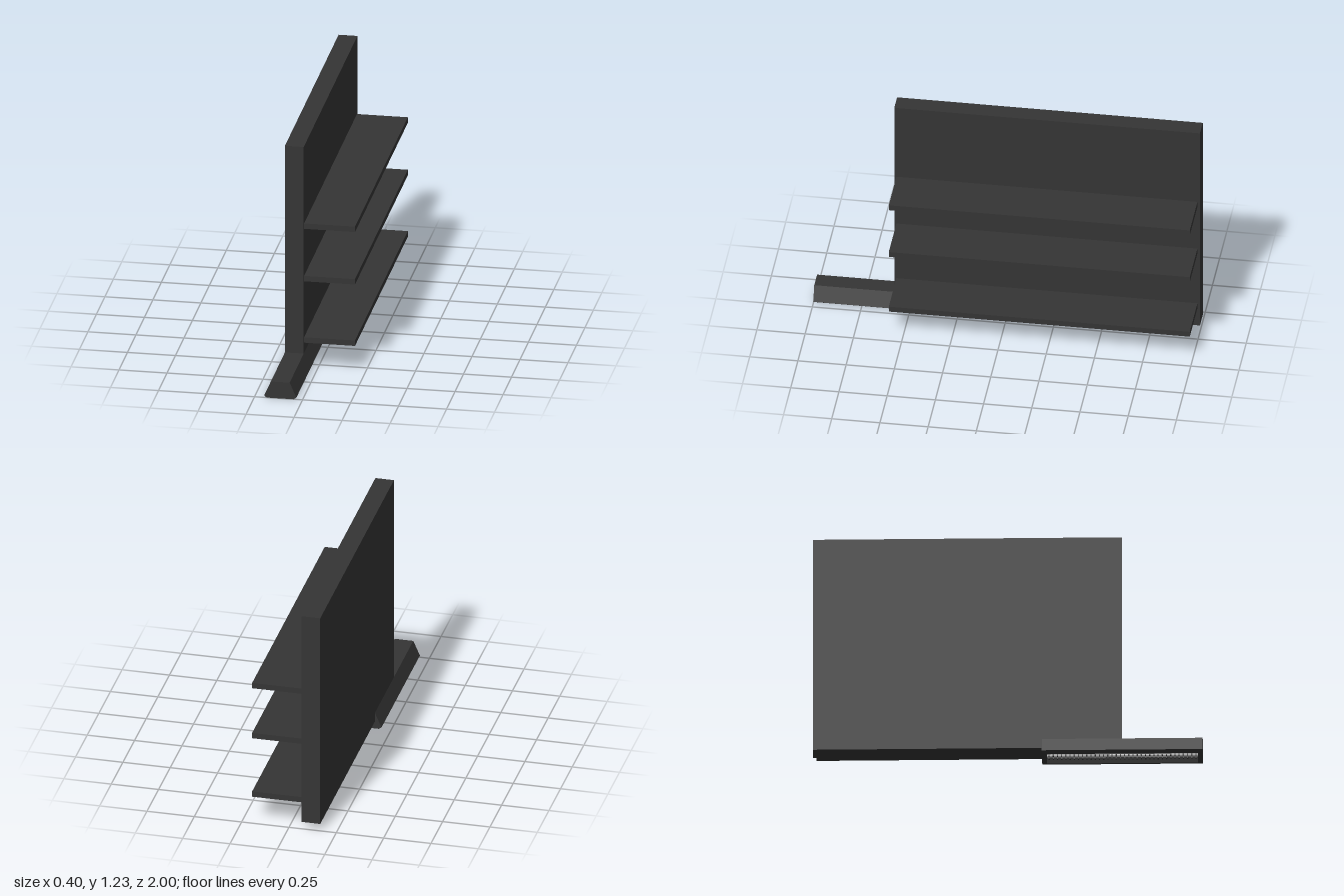
import * as THREE from 'three';

const mat = (name, color, side = THREE.FrontSide) => {
  const m = new THREE.MeshStandardMaterial({ color, side });
  m.name = name;
  return m;
};

export function createModel() {
  const model = new THREE.Group();
  model.name = 'shelvingUnit';
  const charcoal = mat('charcoal', 0x353535);
  const fixture = mat('reflectorGrey', 0x5a5a5a);
  const lamp = mat('lampWhite', 0xd8d8d8);

  const add = (name, geometry, material, parent = model) => {
    const mesh = new THREE.Mesh(geometry, material);
    mesh.name = name;
    parent.add(mesh);
    return mesh;
  };
  // box given by its minimum and maximum corners
  const box = (name, [x0, y0, z0], [x1, y1, z1], material, parent) => {
    const mesh = add(name, new THREE.BoxGeometry(x1 - x0, y1 - y0, z1 - z0), material, parent);
    mesh.position.set((x0 + x1) / 2, (y0 + y1) / 2, (z0 + z1) / 2);
  };
  // outline in x and y, swept from z0 to z1
  const sweep = (name, points, z0, z1, material, parent) => {
    const shape = new THREE.Shape(points.map(([x, y]) => new THREE.Vector2(x, y)));
    const geometry = new THREE.ExtrudeGeometry(shape, { depth: z1 - z0, bevelEnabled: false });
    add(name, geometry, material, parent).position.z = z0;
  };

  // upright back panel and its three shelves
  box('backPanel', [-0.165, 0.04, -1], [-0.067, 1.228, 0.585], charcoal);
  for (const y of [0.161, 0.499, 0.788]) {
    box('shelf', [-0.067, y - 0.015, -0.987], [0.198, y + 0.015, 0.574], charcoal);
  }

  // tapered foot: hollow body, closed by a block at each end
  const foot = new THREE.Group();
  foot.name = 'foot';
  model.add(foot);
  const cx = -0.116;
  const outer = [[-0.084, 0.01], [-0.049, 0.09], [0.049, 0.09], [0.084, 0.01]];
  const body = [...outer, [0.07, 0], [0.058, 0], [0.045, 0.05], [-0.045, 0.05], [-0.058, 0], [-0.07, 0]];
  const cap = [...outer, [0.07, 0], [-0.07, 0]];
  const place = (points) => points.map(([x, y]) => [x + cx, y]);
  sweep('footBody', place(body), 0.2, 0.975, charcoal, foot);
  sweep('footEnd', place(cap), 0.175, 0.2, charcoal, foot);
  sweep('footEnd', place(cap), 0.975, 1, charcoal, foot);

  // lamp tubes with a reflector inside the foot
  box('reflector', [cx - 0.044, 0.046, 0.2], [cx + 0.044, 0.05, 0.975], fixture, foot);
  for (const side of [-1, 1]) {
    const tube = add('lampTube', new THREE.CylinderGeometry(0.009, 0.009, 0.775, 12), lamp, foot);
    tube.rotation.x = Math.PI / 2;
    tube.position.set(cx + side * 0.018, 0.025, 0.5875);
  }

  // short louvre fins beside and between the tubes
  const rows = [[-0.046, -0.031], [-0.005, 0.005], [0.031, 0.046]];
  for (let i = 0; i < 36; i++) {
    const z = 0.2 + (i + 0.5) * 0.775 / 36;
    for (const [x0, x1] of rows) {
      box('louvreFin', [cx + x0, 0.014, z - 0.003], [cx + x1, 0.046, z + 0.003], charcoal, foot);
    }
  }
  return model;
}
